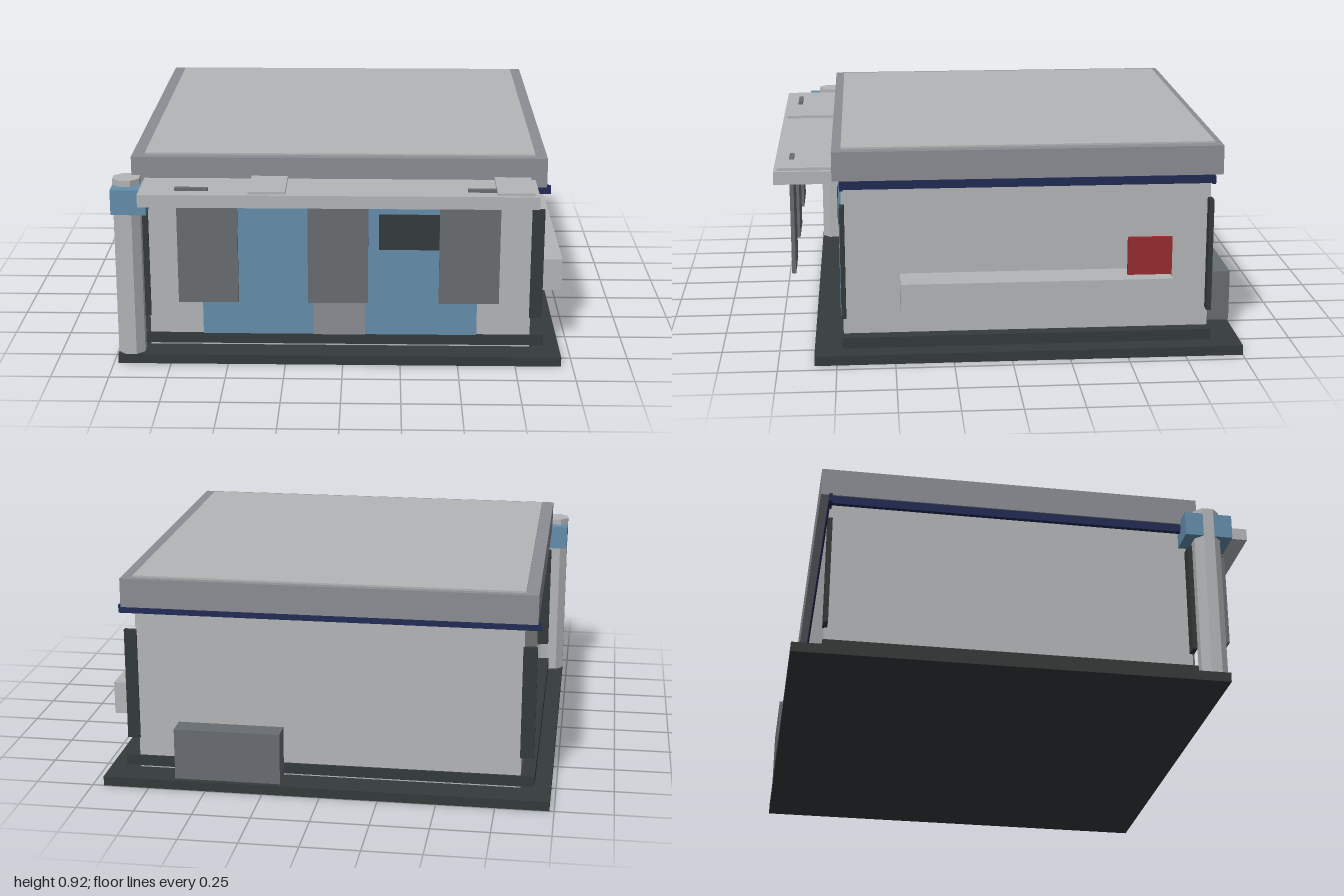
import * as THREE from 'three';

const paint = (name, color) => {
  const m = new THREE.MeshStandardMaterial({ color });
  m.name = name;
  return m;
};

export function createModel() {
  const light = paint('lightGrey', 0xb4b5b7);
  const trim = paint('trimGrey', 0x8b8d94);
  const slate = paint('slateGrey', 0x686d71);
  const dark = paint('charcoal', 0x343b3a);
  const blue = paint('blue', 0x658dac);
  const navy = paint('navy', 0x222b55);
  const red = paint('red', 0x962c2e);

  const model = new THREE.Group();
  model.name = 'building';

  // Box given by its extents along each axis
  const box = (name, mat, [x0, x1], [y0, y1], [z0, z1]) => {
    const mesh = new THREE.Mesh(new THREE.BoxGeometry(x1 - x0, y1 - y0, z1 - z0), mat);
    mesh.position.set((x0 + x1) / 2, (y0 + y1) / 2, (z0 + z1) / 2);
    mesh.name = name;
    model.add(mesh);
    return mesh;
  };

  // Ground slab, plinth and walls
  box('groundSlab', dark, [-0.98, 0.95], [0, 0.042], [-1, 0.845]);
  box('plinth', dark, [-0.91, 0.88], [0.05, 0.098], [-0.87, 0.726]);
  box('walls', light, [-0.85, 0.82], [0.042, 0.8], [-0.863, 0.72]);

  // Roof edge with the roof panel slightly proud of it
  box('roofEdge', trim, [-0.905, 0.87], [0.787, 0.913], [-0.905, 0.755]);
  box('roofPanel', light, [-0.85, 0.82], [0.9, 0.921], [-0.875, 0.715]);

  // Navy band under the roof
  for (const [z0, z1] of [[-0.87, -0.855], [0.71, 0.725]])
    box('endBand', navy, [-0.92, 0.89], [0.75, 0.786], [z0, z1]);
  for (const [x0, x1] of [[-0.9, -0.88], [0.85, 0.87]])
    box('sideBand', navy, [x0, x1], [0.75, 0.786], [-0.865, 0.72]);

  // Thin corner strips
  for (const [x0, x1] of [[-0.905, -0.845], [0.815, 0.87]])
    for (const [z0, z1] of [[-0.87, -0.85], [0.707, 0.727]])
      box('cornerStrip', dark, [x0, x1], [0.18, 0.675], [z0, z1]);

  // Shop front
  box('shopFront', blue, [-0.615, 0.585], [0.1, 0.71], [0.715, 0.735]);
  box('door', trim, [-0.13, 0.095], [0.1, 0.5], [0.734, 0.74]);
  box('frontWindow', dark, [0.155, 0.5], [0.495, 0.655], [0.734, 0.74]);

  // Canopy, its raised panels and the hanging boards
  box('canopy', light, [-0.85, 0.82], [0.765, 0.82], [0.72, 1]);
  for (const [x0, x1] of [[-0.39, -0.235], [0.645, 0.8]])
    box('canopyPanel', light, [x0, x1], [0.815, 0.832], [0.75, 0.985]);
  for (const [x0, x1] of [[-0.695, -0.44], [-0.145, 0.11], [0.41, 0.665]])
    box('hangingBoard', slate, [x0, x1], [0.325, 0.77], [0.923, 0.94]);
  for (const [x0, x1] of [[-0.7, -0.56], [0.525, 0.645]])
    box('boardHanger', slate, [x0, x1], [0.76, 0.832], [0.92, 0.94]);

  // Octagonal corner column with a blue block near its top
  const column = new THREE.Mesh(
    new THREE.CylinderGeometry(0.062, 0.062, 0.79, 8).rotateY(Math.PI / 8).toNonIndexed(), light);
  column.geometry.computeVertexNormals();
  column.position.set(-0.923, 0.437, 0.785);
  column.name = 'column';
  model.add(column);
  box('columnBlock', blue, [-0.98, -0.83], [0.695, 0.805], [0.68, 0.89]);

  // Side counter with a red sign, and a cabinet at the back
  box('sideCounter', light, [0.82, 0.98], [0.217, 0.363], [-0.68, 0.475]);
  box('redSign', red, [0.898, 0.914], [0.343, 0.528], [-0.685, -0.495]);
  box('backCabinet', slate, [0.17, 0.63], [0.052, 0.278], [-1, -0.905]);

  return model;
}
